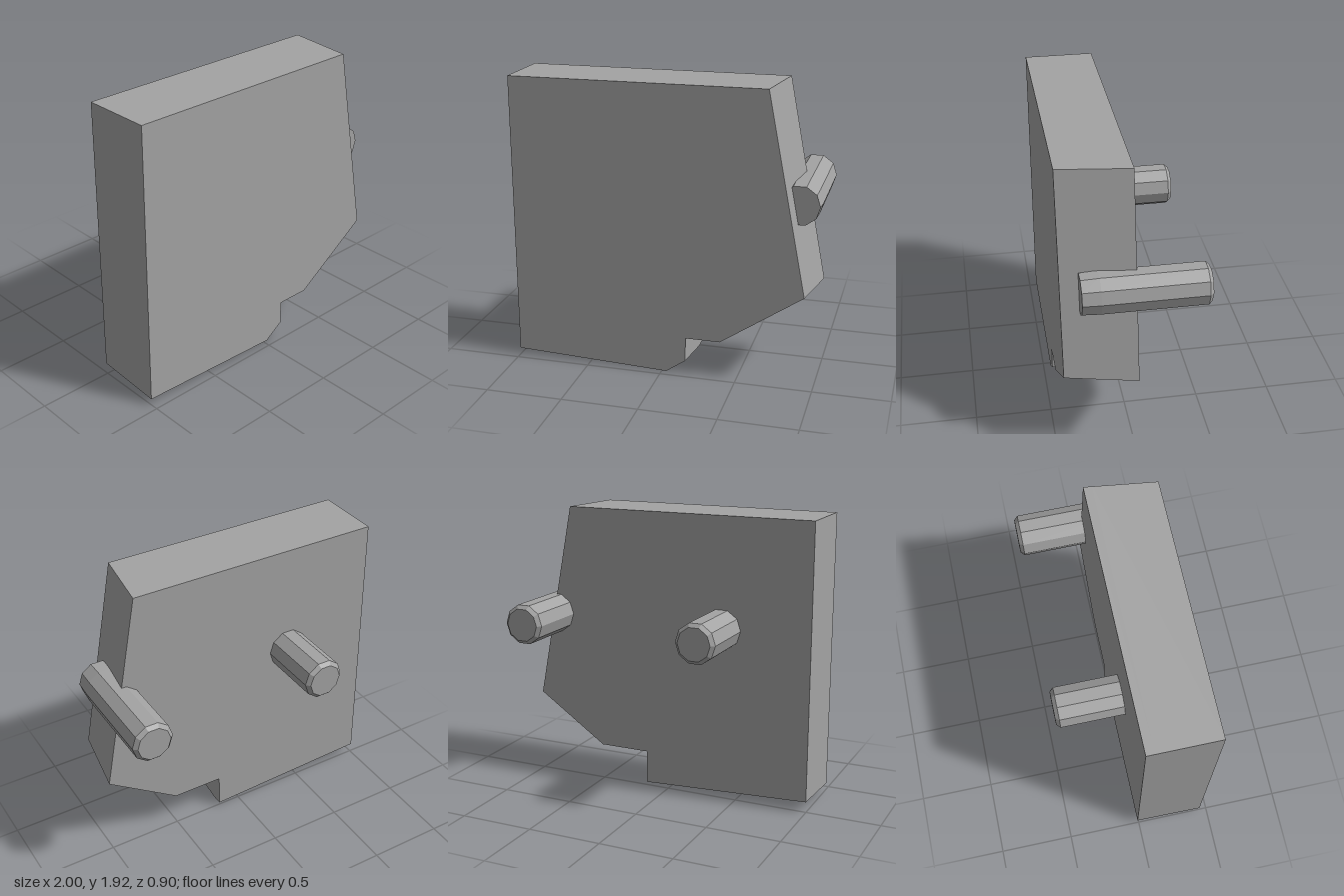
import * as THREE from 'three';

const grey = new THREE.MeshStandardMaterial({ color: 0xa3a3a3, flatShading: true });
grey.name = 'plain grey';

// Slab outlines, counter-clockwise seen from the front; the last two back corners meet
const FRONT = [[0.16, 0.25], [0.39, 0.25], [0.925, 0.61], [0.67, 1.92], [-1, 1.92], [-1, 0.045], [0.03, 0], [0.16, 0.09]];
const BACK = [[0.16, 0.25], [0.505, 0.25], [0.99, 0.58], [0.73, 1.92], [-1, 1.92], [-1, 0.075], [0.16, 0.025], [0.16, 0.025]];
const Z_FRONT = 0.45, Z_BACK = -0.01;

function slabGeometry() {
  const positions = [];
  const push = (...points) => points.forEach((p) => positions.push(p.x, p.y, p.z));
  const ring = (t) => FRONT.map(([x, y], i) => new THREE.Vector3(
    THREE.MathUtils.lerp(x, BACK[i][0], t),
    THREE.MathUtils.lerp(y, BACK[i][1], t),
    THREE.MathUtils.lerp(Z_FRONT, Z_BACK, t)));

  // The small corner bevel closes to a point just before the back face
  const front = ring(0), middle = ring(0.88), back = ring(1);
  middle[6].set(0.16, 0.021, middle[6].z);
  middle[7].copy(middle[6]);

  // Side walls
  [[front, middle], [middle, back]].forEach(([near, far]) => {
    near.forEach((a, i) => {
      const j = (i + 1) % near.length;
      push(a, far[i], near[j], near[j], far[i], far[j]);
    });
  });

  // Front and back faces
  const cap = (points, flip) => {
    const outline = points.map((p) => new THREE.Vector2(p.x, p.y));
    THREE.ShapeUtils.triangulateShape(outline, []).forEach(([a, b, c]) => {
      if (flip) push(points[a], points[c], points[b]);
      else push(points[a], points[b], points[c]);
    });
  };
  cap(front, false);
  cap(back.slice(0, 7), true);

  const geometry = new THREE.BufferGeometry();
  geometry.setAttribute('position', new THREE.Float32BufferAttribute(positions, 3));
  geometry.computeVertexNormals();
  return geometry;
}

// Ten-sided peg along z with a bevelled back end and slightly tapered front end
function pegGeometry() {
  const profile = [[0, -0.455], [0.112, -0.455], [0.137, -0.43], [0.137, 0.22], [0.131, 0.335], [0, 0.335]]
    .map(([r, z]) => new THREE.Vector2(r, z));
  return new THREE.LatheGeometry(profile, 10, Math.PI / 2).rotateX(Math.PI / 2);
}

export function createModel() {
  const model = new THREE.Group();
  model.name = 'peggedSlab';

  const slab = new THREE.Mesh(slabGeometry(), grey);
  slab.name = 'slab';
  model.add(slab);

  const peg = pegGeometry();
  [['innerPeg', -0.385], ['edgePeg', 0.858]].forEach(([name, x]) => {
    const mesh = new THREE.Mesh(peg, grey);
    mesh.name = name;
    mesh.position.set(x, 1.175, 0);
    model.add(mesh);
  });

  return model;
}
